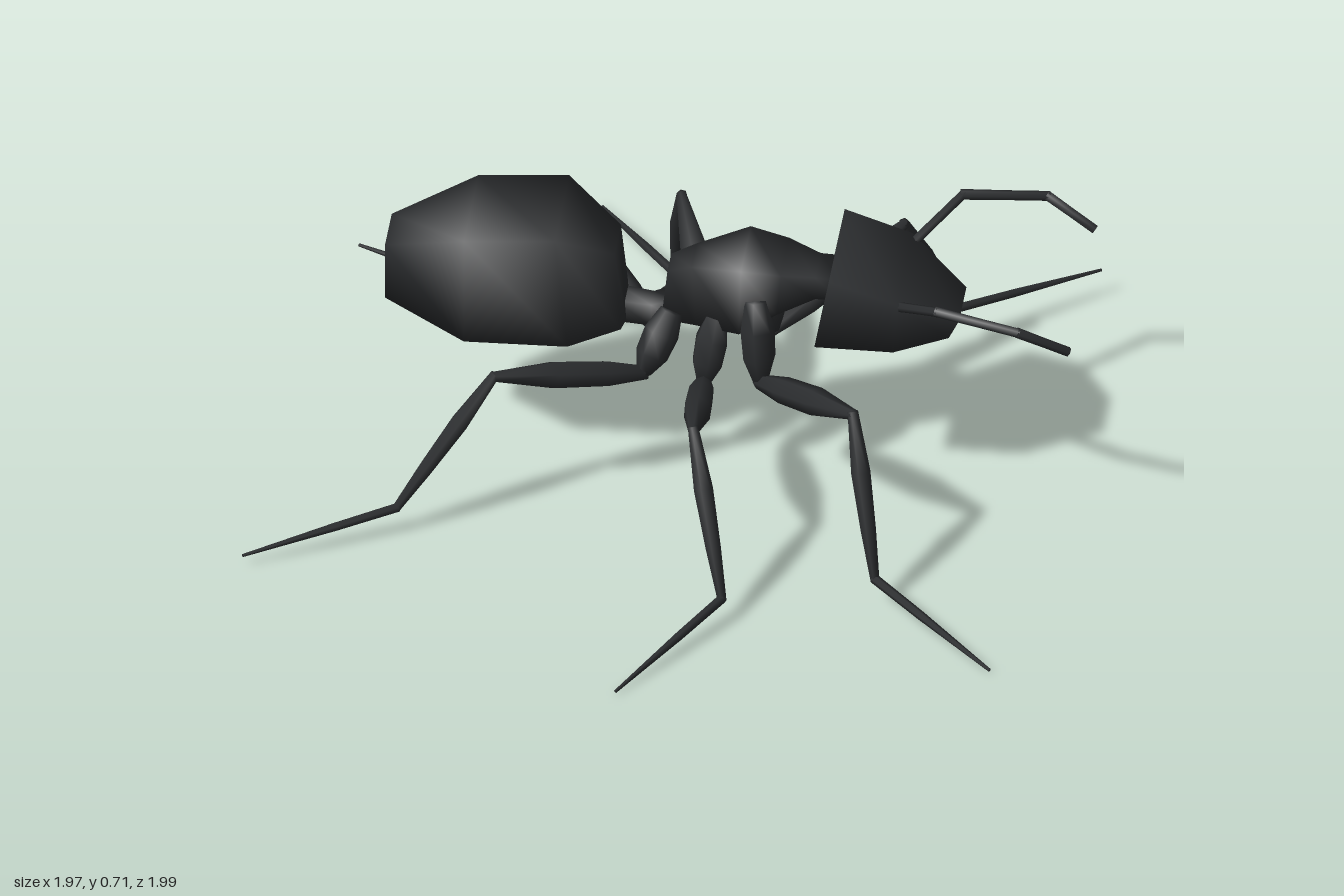
import * as THREE from 'three';

const shell = new THREE.MeshStandardMaterial({ color: 0x2b2d2f, roughness: 0.8 });

function add(parent, name, geometry) {
  const mesh = new THREE.Mesh(geometry, shell);
  mesh.name = name;
  parent.add(mesh);
  return mesh;
}

// Four-cornered loft along x; each section is [xTop, yTop, xBottom, yBottom, halfWidth].
function loft(sections) {
  const pos = [], index = [];
  for (const [xt, yt, xb, yb, w] of sections) pos.push(xt, yt, w, xt, yt, -w, xb, yb, -w, xb, yb, w);
  const last = (sections.length - 1) * 4;
  for (let s = 0; s < last; s += 4) {
    for (let k = 0; k < 4; k++) {
      const a = s + k, b = s + (k + 1) % 4;
      index.push(a, a + 4, b, b, a + 4, b + 4);
    }
  }
  index.push(0, 1, 2, 0, 2, 3, last, last + 2, last + 1, last, last + 3, last + 2);
  const g = new THREE.BufferGeometry();
  g.setAttribute('position', new THREE.Float32BufferAttribute(pos, 3));
  g.setIndex(index);
  g.computeVertexNormals();
  return g;
}

// Six-sided spindle from a to b; profile is [position along length, radius].
function spindle(parent, name, a, b, profile) {
  const from = new THREE.Vector3(...a), dir = new THREE.Vector3(...b).sub(from);
  const len = dir.length();
  const pts = profile.map(([t, r]) => new THREE.Vector2(r, t * len));
  pts.unshift(new THREE.Vector2(0, pts[0].y));
  pts.push(new THREE.Vector2(0, pts[pts.length - 1].y));
  const mesh = add(parent, name, new THREE.LatheGeometry(pts, 6));
  mesh.position.copy(from);
  mesh.quaternion.setFromUnitVectors(new THREE.Vector3(0, 1, 0), dir.normalize());
}

const COXA = [[0, 0.028], [0.35, 0.043], [0.7, 0.04], [1, 0.018]];
const FEMUR = [[-0.02, 0.018], [0.25, 0.034], [0.6, 0.036], [1.01, 0.013]];
const TIBIA = [[-0.02, 0.013], [0.35, 0.024], [0.7, 0.019], [1.01, 0.011]];
const TARSUS = [[-0.01, 0.012], [0.4, 0.011], [1, 0.004]];

export function createModel() {
  const ant = new THREE.Group();
  ant.name = 'ant';

  // Body, from tail to face
  add(ant, 'abdomen', loft([
    [-0.7, 0.62, -0.7, 0.465, 0.065],
    [-0.5, 0.7, -0.5, 0.405, 0.138],
    [-0.28, 0.72, -0.25, 0.412, 0.138],
    [-0.145, 0.64, -0.13, 0.42, 0.062],
    [-0.125, 0.5, -0.12, 0.43, 0.035],
  ]));
  add(ant, 'waist', loft([
    [-0.15, 0.485, -0.15, 0.425, 0.035],
    [-0.06, 0.475, -0.06, 0.415, 0.03],
    [0, 0.5, 0, 0.44, 0.035],
  ]));
  add(ant, 'thorax', loft([
    [-0.02, 0.585, -0.035, 0.44, 0.035],
    [0.04, 0.61, 0.05, 0.44, 0.05],
    [0.165, 0.64, 0.16, 0.455, 0.095],
    [0.26, 0.625, 0.25, 0.51, 0.08],
    [0.34, 0.607, 0.34, 0.545, 0.052],
    [0.4, 0.605, 0.4, 0.545, 0.052],
  ]));
  add(ant, 'head', loft([
    [0.385, 0.67, 0.35, 0.475, 0.152],
    [0.55, 0.615, 0.54, 0.475, 0.15],
    [0.69, 0.525, 0.665, 0.472, 0.07],
  ]));

  // Antennae, mirrored across the body
  for (const [side, s] of [['right', 1], ['left', -1]]) {
    const antenna = new THREE.Group();
    antenna.name = side + 'Antenna';
    const path = [[0.54, 0.59, 0.12 * s], [0.66, 0.672, 0.245 * s], [0.86, 0.657, 0.285 * s], [0.975, 0.592, 0.255 * s]];
    for (let i = 0; i < 3; i++) {
      spindle(antenna, 'antennaSegment', path[i], path[i + 1], [[-0.03, 0.013], [0.5, 0.012], [1.03, 0.012]]);
    }
    ant.add(antenna);
  }

  // Legs: hip, lower hip, knee, ankle and toe
  const legs = {
    frontRightLeg: [[0.2, 0.55, 0.08], [0.215, 0.33, 0.11], [0.475, 0.46, 0.395], [0.545, 0.08, 0.535], [0.855, 0.02, 0.79]],
    frontLeftLeg: [[0.2, 0.55, -0.08], [0.215, 0.33, -0.11], [0.5, 0.47, -0.385], [0.61, 0.125, -0.535], [0.925, 0.085, -0.79]],
    middleRightLeg: [[0.1, 0.47, 0.05], [0.075, 0.31, 0.1], [0.1, 0.445, 0.485], [0.19, 0.075, 0.655], [-0.025, 0.02, 0.99]],
    middleLeftLeg: [[0.1, 0.47, -0.05], [0.075, 0.31, -0.1], [-0.05, 0.44, -0.475], [-0.088, 0.07, -0.665], [-0.308, 0.015, -0.995]],
    rearRightLeg: [[-0.01, 0.47, 0.04], [-0.07, 0.325, 0.1], [-0.41, 0.41, 0.28], [-0.63, 0.085, 0.395], [-0.98, 0.04, 0.575]],
    rearLeftLeg: [[-0.01, 0.47, -0.04], [-0.07, 0.325, -0.1], [-0.335, 0.55, -0.285], [-0.498, 0.18, -0.39], [-0.845, 0.145, -0.585]],
  };
  const parts = [['coxa', COXA], ['femur', FEMUR], ['tibia', TIBIA], ['tarsus', TARSUS]];
  for (const [name, joints] of Object.entries(legs)) {
    const leg = new THREE.Group();
    leg.name = name;
    parts.forEach(([part, profile], i) => spindle(leg, part, joints[i], joints[i + 1], profile));
    ant.add(leg);
  }
  return ant;
}
